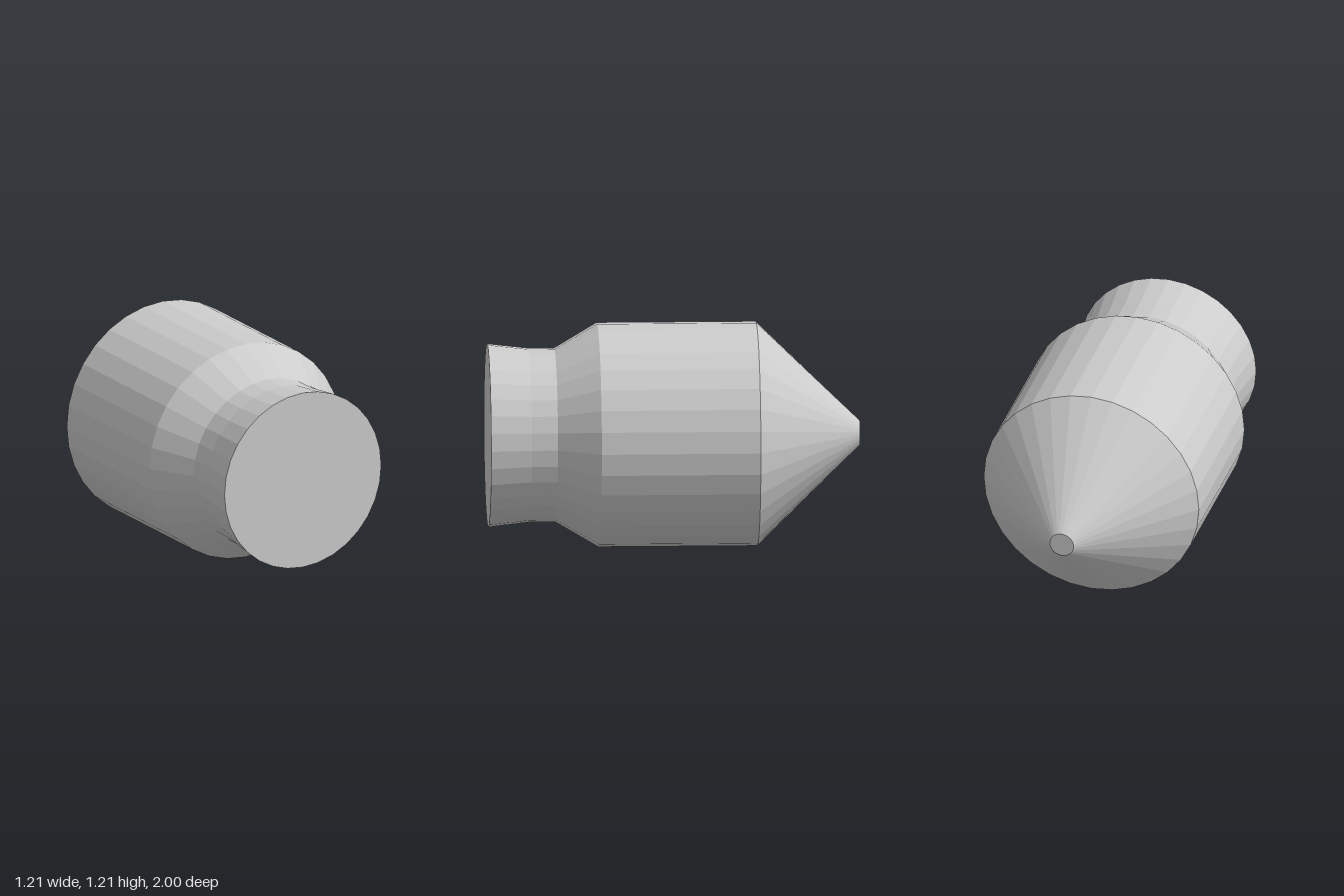
import * as THREE from 'three';

const SIDES = 32;
const RADIUS = 0.603;

export function createModel() {
  const model = new THREE.Group();
  model.name = 'bullet';
  const material = new THREE.MeshStandardMaterial({ color: 0xcccccc, flatShading: true });

  // Each part is a faceted solid of revolution along z, given as [radius, z] from back to front.
  const addPart = (name, profile) => {
    const points = profile.map(([r, z]) => new THREE.Vector2(r, z));
    const geometry = new THREE.LatheGeometry(points, SIDES);
    geometry.rotateX(Math.PI / 2);
    const mesh = new THREE.Mesh(geometry, material);
    mesh.name = name;
    mesh.position.y = RADIUS;
    model.add(mesh);
  };

  // Cone with a small blunt tip
  addPart('noseCone', [[0, -1], [0.067, -1], [RADIUS, -0.445]]);

  // Straight barrel
  addPart('body', [[RADIUS, -0.445], [RADIUS, 0.41]]);

  // Taper down to a narrow waist
  addPart('shoulder', [[RADIUS, 0.41], [0.468, 0.64]]);

  // Waist flaring out to the flat closed end
  addPart('flaredBase', [[0.468, 0.64], [0.468, 0.78], [0.493, 1], [0, 1]]);

  return model;
}
